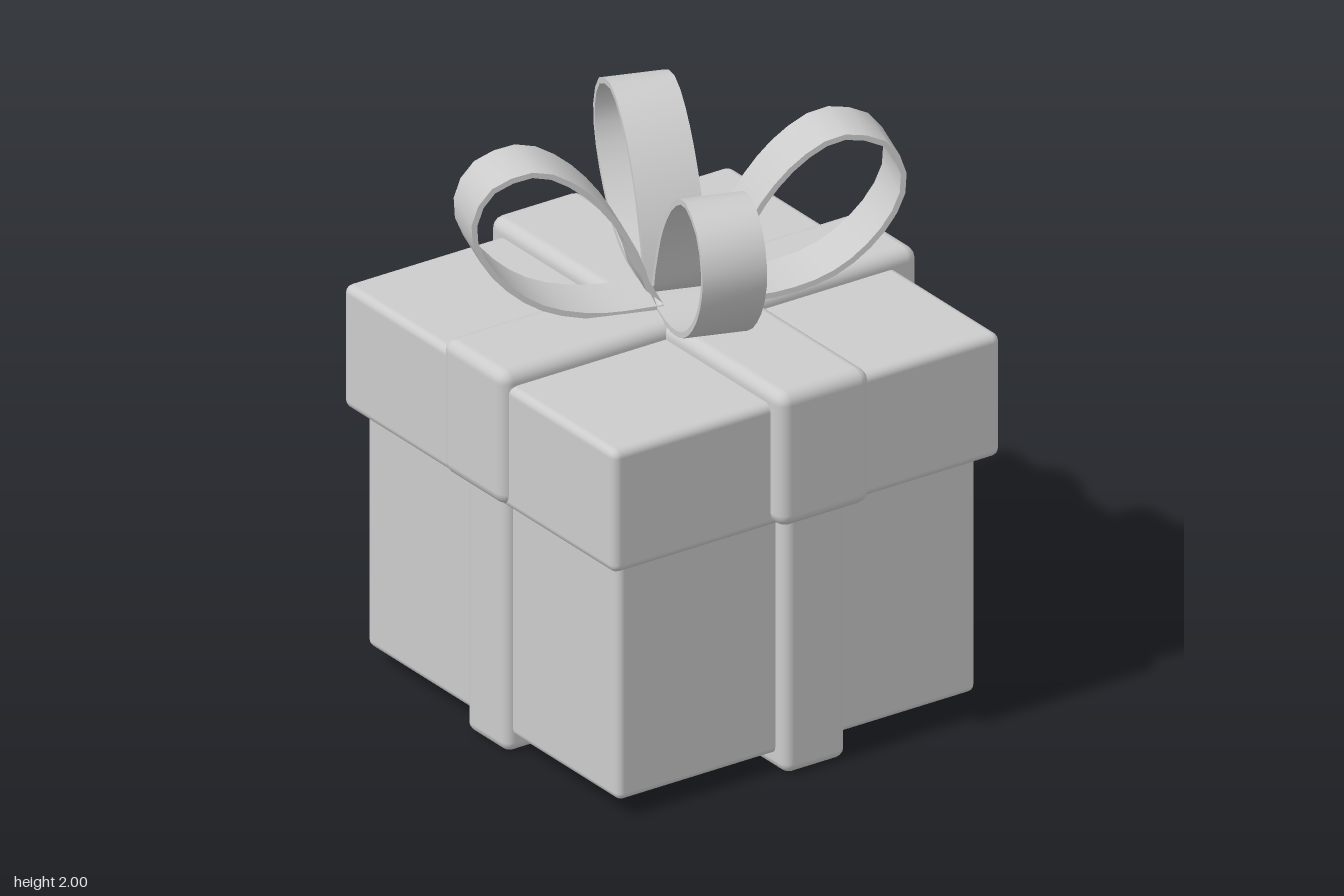
import * as THREE from 'three';
import { toCreasedNormals } from 'three/addons/utils/BufferGeometryUtils.js';
import { RoundedBoxGeometry } from 'three/addons/geometries/RoundedBoxGeometry.js';

const material = new THREE.MeshStandardMaterial({ color: 0xcccccc });

// Rounded block given by its width, depth, vertical range and z centre
function block(name, width, depth, y0, y1, z, radius) {
  const mesh = new THREE.Mesh(new RoundedBoxGeometry(width, y1 - y0, depth, 2, radius), material);
  mesh.name = name;
  mesh.position.set(0, (y0 + y1) / 2, z);
  return mesh;
}

// One bow loop: a thin strip following a teardrop outline, extruded to the ribbon width
function bowLoopGeometry(width, thickness) {
  const curve = new THREE.CatmullRomCurve3([
    [0.0, 1.435], [0.25, 1.435], [0.44, 1.49], [0.58, 1.6], [0.66, 1.72], [0.68, 1.82],
    [0.63, 1.94], [0.54, 1.99], [0.44, 2.0], [0.32, 1.94], [0.2, 1.82], [0.1, 1.65], [0.04, 1.45],
  ].map(([u, y]) => new THREE.Vector3(u, y, 0)));
  const outer = [], inner = [], steps = 26;
  for (let i = 0; i <= steps; i++) {
    const p = curve.getPointAt(i / steps);
    const t = curve.getTangentAt(i / steps);
    outer.push(new THREE.Vector2(p.x, p.y));
    inner.push(new THREE.Vector2(p.x - t.y * thickness, p.y + t.x * thickness));
  }
  // Keep the strip's ends from crossing where both meet at the knot
  inner[0].x = 0.02;
  inner[steps].x = 0.02;
  inner[steps].y = 1.462;
  const shape = new THREE.Shape([...outer, ...inner.reverse()]);
  const geometry = new THREE.ExtrudeGeometry(shape, { depth: width, bevelEnabled: false });
  geometry.translate(0, 0, -width / 2);
  return toCreasedNormals(geometry, 0.7);
}

export function createModel() {
  const model = new THREE.Group();
  model.name = 'giftBox';

  // Box and lid
  model.add(block('box', 1.45, 1.45, 0.06, 1.05, 0.035, 0.025));
  model.add(block('lid', 1.565, 1.57, 0.935, 1.388, 0.033, 0.03));

  // Crossed ribbons around the box and the lid
  model.add(block('boxRibbonAcross', 1.57, 0.25, 0, 1.05, 0, 0.035));
  model.add(block('boxRibbonAlong', 0.24, 1.575, 0, 1.05, 0, 0.035));
  model.add(block('lidRibbonAcross', 1.69, 0.37, 0.945, 1.44, 0, 0.045));
  model.add(block('lidRibbonAlong', 0.36, 1.69, 0.945, 1.44, 0, 0.045));

  // Four bow loops in a pinwheel, the front and back ones set further out
  const bow = new THREE.Group();
  bow.name = 'bow';
  const loop = bowLoopGeometry(0.222, 0.02);
  for (let i = 0; i < 4; i++) {
    const arm = new THREE.Group();
    arm.name = 'bowLoop' + (i + 1);
    arm.rotation.y = -0.343 + (i * Math.PI) / 2;
    const mesh = new THREE.Mesh(loop, material);
    mesh.name = 'loopStrip';
    mesh.position.x = i % 2 ? 0.07 : 0;
    arm.add(mesh);
    bow.add(arm);
  }
  model.add(bow);
  return model;
}
